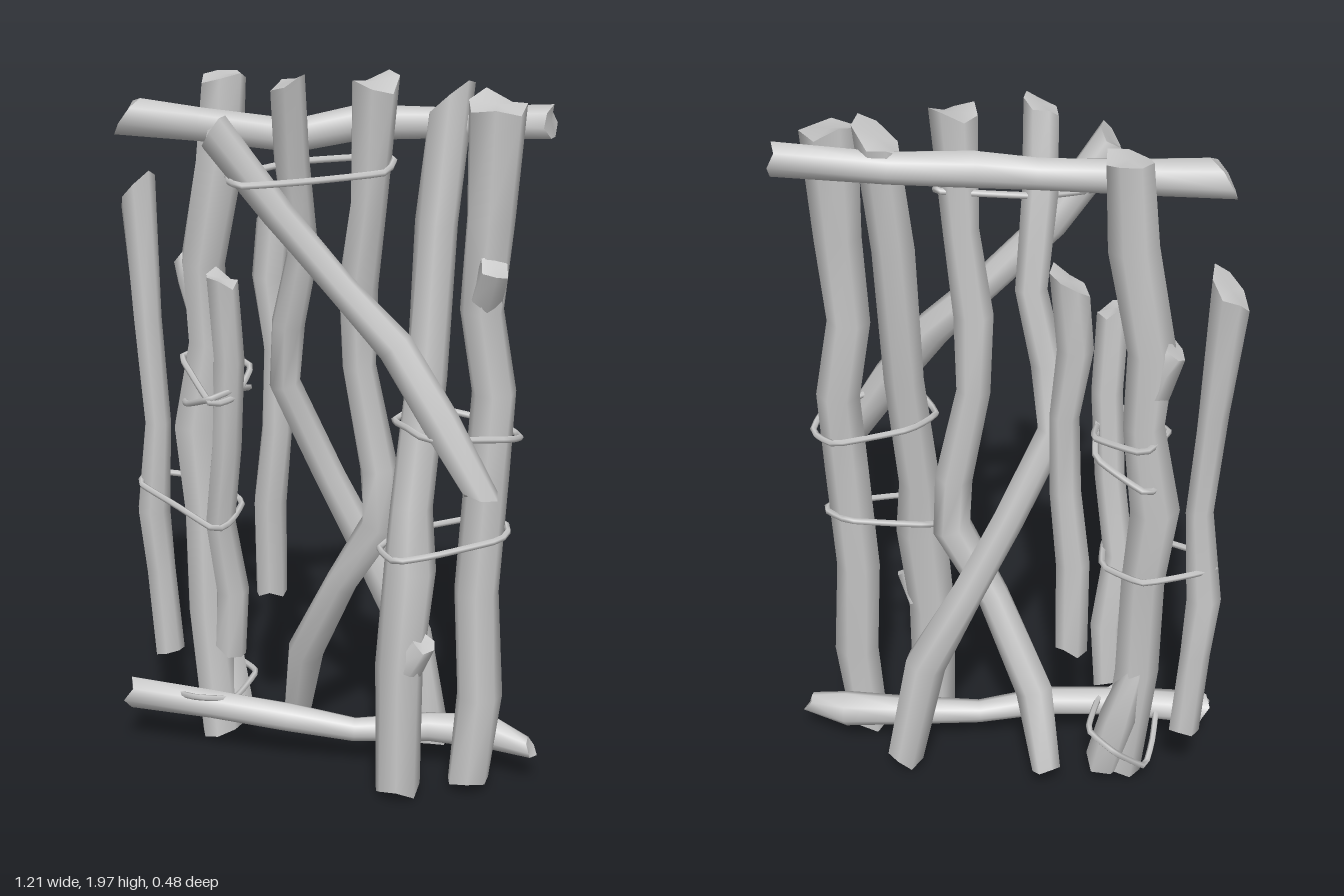
import * as THREE from 'three';

const wood = new THREE.MeshStandardMaterial({ color: 0xc8c8c8 });
wood.name = 'weathered grey wood';

// small seeded generator for uneven bark and broken ends
let seed = 11;
const rand = () => ((seed = (seed * 16807) % 2147483647) / 2147483647) * 2 - 1;

// lofted stick: points are [x, y, z, radius, slant of the break at an end]
function stickGeometry(points, sides = 7) {
  const P = points.map(p => new THREE.Vector3(p[0], p[1], p[2]));
  const n = P.length, pos = [], idx = [];
  const ref = new THREE.Vector3(0, 0, 1);
  P.forEach((p, i) => {
    const t = P[Math.min(i + 1, n - 1)].clone().sub(P[Math.max(i - 1, 0)]).normalize();
    const u = ref.clone().cross(t).normalize();
    const v = t.clone().cross(u);
    const [, , , r, slant = 0] = points[i];
    const end = i === 0 || i === n - 1;
    for (let j = 0; j < sides; j++) {
      const a = (j / sides) * Math.PI * 2, k = r * (1 + 0.07 * rand());
      const q = p.clone().addScaledVector(u, Math.cos(a) * k).addScaledVector(v, Math.sin(a) * k);
      if (end) q.addScaledVector(t, r * (slant * Math.cos(a) + 0.35 * rand()));
      pos.push(q.x, q.y, q.z);
    }
  });
  for (let i = 0; i < n - 1; i++) {
    for (let j = 0; j < sides; j++) {
      const a = i * sides + j, b = i * sides + (j + 1) % sides;
      idx.push(a, b, b + sides, a, b + sides, a + sides);
    }
  }
  // end caps with their own vertices, so the rim stays sharp
  for (const e of [0, n - 1]) {
    const base = pos.length / 3;
    for (let j = 0; j < sides; j++) pos.push(...pos.slice((e * sides + j) * 3, (e * sides + j) * 3 + 3));
    pos.push(P[e].x, P[e].y, P[e].z);
    for (let j = 0; j < sides; j++) {
      const a = base + j, b = base + (j + 1) % sides, c = base + sides;
      if (e) idx.push(a, b, c); else idx.push(b, a, c);
    }
  }
  const g = new THREE.BufferGeometry();
  g.setAttribute('position', new THREE.Float32BufferAttribute(pos, 3));
  g.setIndex(idx);
  g.computeVertexNormals();
  return g;
}

// upright, leaning and cross sticks, listed from bottom to top or left to right
const sticks = {
  outerLeftStick: [[-.505, .245, -.12, .044], [-.52, .5, -.11, .042], [-.535, .68, -.1, .046], [-.51, .95, -.09, .036],
    [-.53, 1.25, -.09, .04], [-.555, 1.61, -.1, .05, -.9]],
  thickLeftPost: [[-.32, .03, -.07, .06, -.3], [-.36, .4, -.08, .06], [-.365, .7, -.08, .06], [-.395, .95, -.1, .064],
    [-.355, 1.2, -.1, .056], [-.365, 1.42, -.1, .062], [-.315, 1.7, -.1, .066], [-.3, 1.93, -.11, .062, -.3]],
  shortLeftStick: [[-.275, .32, -.04, .045, .4], [-.265, .5, -.03, .046], [-.285, .72, 0, .042], [-.25, .95, .03, .04],
    [-.235, 1.2, .045, .042], [-.24, 1.43, .07, .042, .2]],
  hangingStick: [[-.18, .47, -.12, .044], [-.18, .75, -.11, .046], [-.155, .97, -.1, .042], [-.15, 1.2, -.1, .04],
    [-.175, 1.4, -.1, .046], [-.16, 1.59, -.11, .046, -.8]],
  curvedBackStick: [[.28, .05, -.19, .05], [.22, .38, -.17, .058], [.1, .63, -.14, .046], [0, .85, -.1, .044],
    [-.11, 1.12, -.05, .042], [-.09, 1.3, -.02, .046], [-.04, 1.5, 0, .042], [-.05, 1.75, .05, .046], [-.04, 1.96, .1, .046, -.5]],
  crookedMiddleStick: [[-.13, .08, -.19, .04], [-.08, .3, -.12, .05], [.05, .56, -.06, .046], [.17, .76, -.04, .056],
    [.165, .92, -.03, .05], [.11, 1.2, -.03, .046], [.105, 1.42, -.02, .054], [.14, 1.65, 0, .048], [.16, 1.96, .01, .062]],
  rightInnerPost: [[.27, .03, .08, .062], [.27, .4, .08, .066], [.285, .68, .06, .07], [.28, .85, .04, .056],
    [.3, 1.2, -.01, .055], [.31, 1.6, -.05, .056], [.33, 1.91, -.08, .056, -.8]],
  rightOuterPost: [[.435, .03, -.03, .058, -.2], [.46, .3, -.03, .062], [.445, .6, -.04, .06], [.46, .93, -.05, .058],
    [.47, 1.16, -.06, .06], [.435, 1.38, -.05, .06], [.45, 1.62, -.05, .064], [.46, 1.91, -.05, .075, .2]],
  diagonalBrace: [[.49, .94, .11, .042, .5], [.38, 1.12, .11, .052], [.25, 1.3, .09, .05], [.1, 1.45, .1, .042],
    [-.06, 1.63, .12, .044], [-.2, 1.84, .19, .05, -.3]],
  topCrossbar: [[-.515, 1.835, .05, .052, .7], [-.3, 1.825, .03, .044], [-.05, 1.81, .02, .042], [.1, 1.84, -.05, .045],
    [.3, 1.845, -.1, .042], [.575, 1.86, -.14, .044]],
  bottomCrossbar: [[-.54, .175, .06, .046], [-.3, .17, .04, .042], [-.08, .155, .01, .042], [.1, .125, -.04, .034],
    [.3, .14, -.1, .042], [.47, .14, -.13, .05], [.59, .125, -.11, .028, -.5]],
};

// broken-off side branches
const stubs = {
  leftPostKnot: [[-.365, 1.3, -.1, .055], [-.39, 1.38, -.1, .056], [-.43, 1.43, -.11, .035, -.3]],
  leftPostFoot: [[-.365, .43, -.1, .03], [-.32, .25, -.12, .052], [-.28, .06, -.1, .054]],
  innerPostKnot: [[.29, .42, .085, .055], [.34, .49, .1, .036]],
  outerPostKnot: [[.45, 1.42, -.03, .045], [.482, 1.51, .01, .04]],
};

// wire ties: closed loops around neighbouring sticks
const ties = {
  topTie: [[-.18, 1.72, .16], [-.11, 1.72, .235], [.02, 1.725, .16], [.2, 1.74, .05], [.19, 1.765, -.04], [-.05, 1.745, .03]],
  outerLeftTie: [[-.56, .78, -.1], [-.54, .775, -.04], [-.4, .755, .03], [-.26, .73, .095], [-.24, .73, .03],
    [-.26, .74, -.1], [-.38, .76, -.18], [-.5, .78, -.145]],
  upperLeftTie: [[-.415, 1.16, -.06], [-.36, 1.14, .01], [-.25, 1.1, .125], [-.215, 1.1, .05], [-.23, 1.14, -.1], [-.37, 1.16, -.175]],
  lowerLeftTie: [[-.42, 1.03, -.08], [-.37, 1.05, .01], [-.26, 1.11, .125], [-.215, 1.12, .04], [-.235, 1.08, -.1], [-.38, 1.04, -.175]],
  upperRightTie: [[.225, 1.08, .02], [.29, 1.09, .1], [.36, 1.085, .15], [.53, 1.06, .01], [.54, 1.04, -.08], [.46, 1.05, -.14], [.27, 1.09, -.09]],
  lowerRightTie: [[.2, .73, .06], [.27, .73, .135], [.36, .745, .1], [.51, .77, -.01], [.52, .785, -.07], [.44, .79, -.115], [.24, .75, -.03]],
  bottomTie: [[-.41, .13, -.06], [-.4, .19, .05], [-.32, .215, .1], [-.24, .19, .02], [-.24, .2, -.14], [-.33, .19, -.21], [-.4, .09, -.13]],
};

export function createModel() {
  const group = new THREE.Group();
  group.name = 'stick lattice panel';
  const add = (name, geometry) => {
    const m = new THREE.Mesh(geometry, wood);
    m.name = name;
    group.add(m);
  };
  for (const [name, pts] of Object.entries(sticks)) add(name, stickGeometry(pts));
  for (const [name, pts] of Object.entries(stubs)) add(name, stickGeometry(pts, 6));
  for (const [name, pts] of Object.entries(ties)) {
    const curve = new THREE.CatmullRomCurve3(pts.map(p => new THREE.Vector3(...p)), true, 'catmullrom', 0.2);
    add(name, new THREE.TubeGeometry(curve, 28, 0.009, 5, true));
  }
  return group;
}
